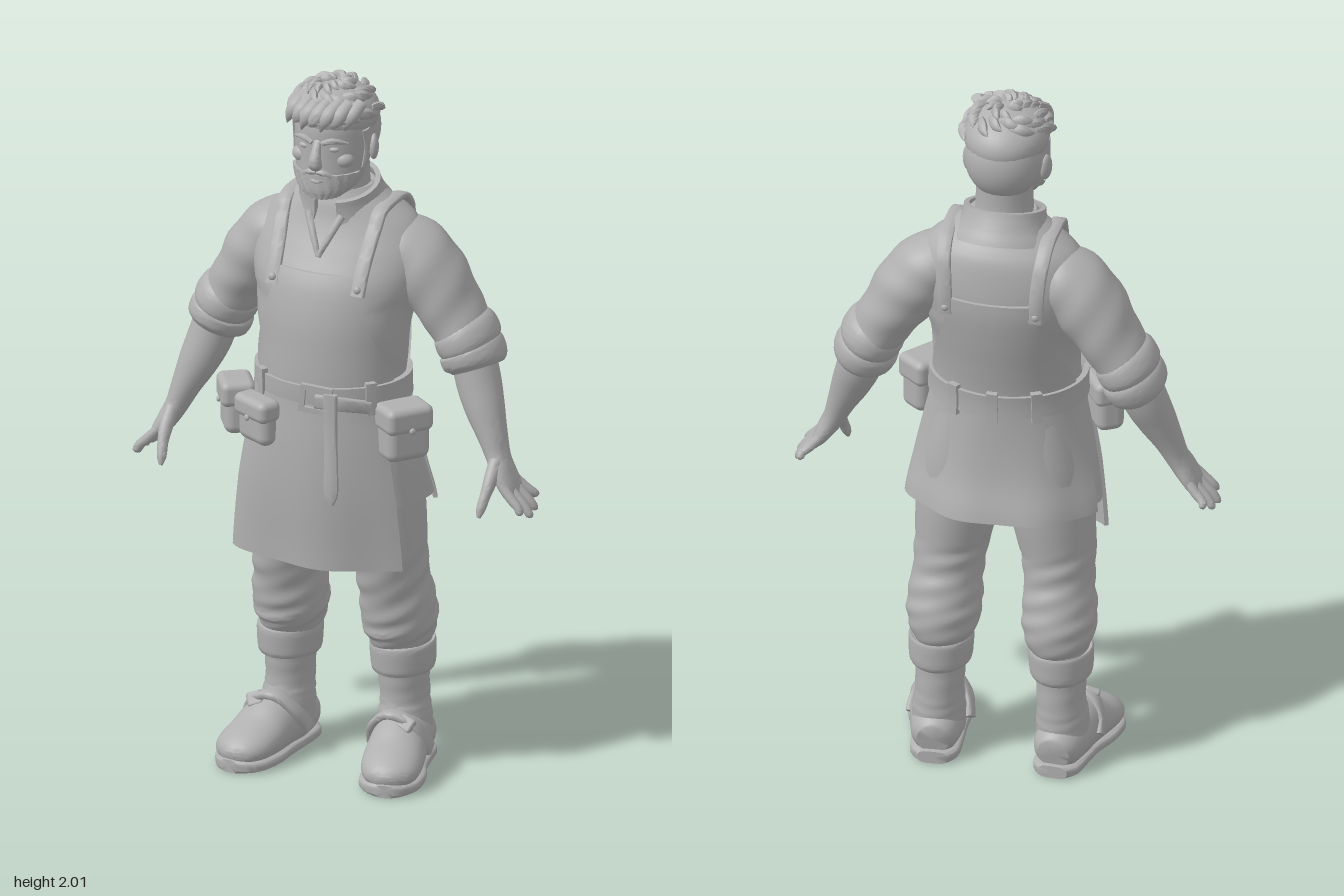
import * as THREE from 'three';
import { toCreasedNormals } from 'three/addons/utils/BufferGeometryUtils.js';
import { RoundedBoxGeometry } from 'three/addons/geometries/RoundedBoxGeometry.js';

const V = (x, y, z) => new THREE.Vector3(x, y, z);
const clay = new THREE.MeshStandardMaterial({ color: 0xb0b0b0, side: THREE.DoubleSide });
clay.name = 'plain grey';

// Catmull-Rom interpolation of rows of numbers
function mix(rows, u) {
  const n = rows.length - 1, i = Math.min(Math.floor(u), n - 1), t = u - i;
  const [a, b, c, d] = [i - 1, i, i + 1, i + 2].map(k => rows[Math.max(0, Math.min(n, k))]);
  return b.map((q, k) => q + 0.5 * t * (c[k] - a[k] + t * (2 * a[k] - 5 * q + 4 * c[k] - d[k] + t * (3 * (q - c[k]) + d[k] - a[k]))));
}

// Skins a list of closed rings
function skin(rings, crease = 0.8) {
  const m = rings[0].length, idx = [];
  for (let i = 0; i < rings.length - 1; i++) for (let j = 0; j < m; j++) {
    const A = i * m + j, B = i * m + (j + 1) % m;
    idx.push(A, A + m, B, B, A + m, B + m);
  }
  const g = new THREE.BufferGeometry().setFromPoints(rings.flat());
  g.setIndex(idx);
  return toCreasedNormals(g, crease);
}

// Closed tube through rows [x, y, z, half width, half depth]
function limb(rows, { seg = 20, steps = 5, ref = V(0, 0, 1), sq = 1, fold = () => 0 } = {}) {
  const n = (rows.length - 1) * steps, rings = [];
  const pw = v => Math.sign(v) * Math.abs(v) ** sq;
  for (let k = -1; k <= n + 1; k++) {
    const u = Math.max(0, Math.min(n, k)) / steps, r = mix(rows, u), c = V(...r);
    const t = V(...mix(rows, Math.min(u + 0.05, rows.length - 1))).sub(V(...mix(rows, Math.max(u - 0.05, 0)))).normalize();
    const s = t.clone().cross(ref).normalize(), f = s.clone().cross(t);
    const e = k < 0 || k > n ? 0 : 1;
    rings.push(Array.from({ length: seg }, (_, j) => {
      const q = j / seg * Math.PI * 2, w = e * (1 + fold(q, u));
      return c.clone().addScaledVector(s, r[3] * w * pw(Math.cos(q))).addScaledVector(f, r[4] * w * pw(Math.sin(q)));
    }));
  }
  return skin(rings);
}

// Point on an upright body given by rows [y, half width, half depth, z centre], top first
function at(rows, y, q, h = 0) {
  let i = 0;
  while (i < rows.length - 2 && y < rows[i + 1][0]) i++;
  const [, a, b, c] = mix(rows, i + (rows[i][0] - y) / (rows[i][0] - rows[i + 1][0]));
  return V((a + h) * Math.sin(q), y, c + (b + h) * Math.cos(q));
}
function body(rows, seg = 40, n = 36, fold = () => 0) {
  const top = rows[0][0], bot = rows[rows.length - 1][0], rings = [];
  for (let k = -1; k <= n + 1; k++) {
    const y = top + (bot - top) * Math.max(0, Math.min(n, k)) / n;
    const ring = Array.from({ length: seg }, (_, j) => at(rows, y, j / seg * 2 * Math.PI, fold(j / seg * 2 * Math.PI, y)));
    if (k < 0 || k > n) { const c = at(rows, y, 0).add(at(rows, y, Math.PI)).multiplyScalar(0.5); ring.forEach(p => p.copy(c)); }
    rings.push(ring);
  }
  return skin(rings);
}
// Cloth panel lying on a body between two angles
function panel(rows, y1, y0, angles, h0, h1, fold = () => 0, seg = 28, n = 14) {
  const rings = [];
  for (let k = -1; k <= n + 1; k++) {
    const y = y1 + (y0 - y1) * Math.max(0, Math.min(n, k)) / n, [t0, t1] = angles(y), ring = [];
    for (let j = 0; j < 2 * (seg + 1); j++) {
      const out = j <= seg, q = t0 + (t1 - t0) * (out ? j : 2 * seg + 1 - j) / seg;
      ring.push(at(rows, y, q, (out && k >= 0 && k <= n ? h1 : h0) + fold(q, y)));
    }
    rings.push(ring);
  }
  return skin(rings);
}

const TORSO = [[1.69, .09, .085, -.045], [1.65, .14, .105, -.05], [1.6, .205, .13, -.06], [1.53, .245, .155, -.05],
  [1.45, .245, .18, -.03], [1.35, .222, .185, -.01], [1.25, .205, .178, .005], [1.15, .2, .17, .015], [1.05, .205, .165, .01]];
const SKIRT = [[1.13, .2, .168, .013], [1.0, .225, .17, .01], [.9, .245, .172, 0], [.79, .262, .18, -.02]];
const APRON = [[1.12, .212, .176, .015], [1.0, .235, .178, .02], [.85, .262, .178, .02], [.64, .282, .165, .02]];
const HEAD = [[1.98, .05, .06, 0], [1.95, .09, .1, 0], [1.9, .106, .12, .003], [1.85, .108, .121, .005], [1.8, .104, .115, .012],
  [1.75, .093, .097, .032], [1.715, .072, .074, .056], [1.692, .042, .045, .08]];

export function createModel() {
  const root = new THREE.Group();
  const add = (name, geo, pos, rot, scale, parent = root) => {
    const m = new THREE.Mesh(geo, clay);
    m.name = name;
    if (pos) m.position.set(...pos);
    if (rot) m.rotation.set(...rot);
    if (scale) m.scale.set(...scale);
    parent.add(m);
    return m;
  };
  const ball = new THREE.SphereGeometry(1, 28, 20);

  // Shirt, collar and neck
  add('shirtBody', body(TORSO, 48, 40, (q, y) => .004 * Math.sin(3 * q + y * 28) * (y < 1.4 ? 1 : 0)));
  add('neck', limb([[0, 1.78, -.035, .078, .078], [0, 1.7, -.035, .08, .08], [0, 1.6, -.045, .09, .09]]));
  add('collar', panel([[.045, .102, .098, 0], [0, .112, .108, 0], [-.045, .138, .122, 0]], .045, -.045,
    () => [.28, 2 * Math.PI - .28], -.004, .01), [0, 1.65, -.04], [.28, 0, 0]);
  for (const s of [1, -1]) add('neckPlacket', limb([[s * .05, 1.63, .072, .011, .008], [s * .022, 1.57, .1, .01, .008],
    [0, 1.52, .118, .007, .008]], { seg: 10 }));

  // Tunic skirt in back and side pieces
  const ripple = (q, y) => .006 * Math.sin(7 * q + 1) * (1.1 - y) / .3;
  add('tunicBack', panel(SKIRT, 1.13, .79, y => [1.85 - (1.1 - y) * .1, 4.43 + (1.1 - y) * .1], 0, .012, ripple));
  for (const s of [1, -1]) add('tunicSide', panel(SKIRT, 1.13, .81, () => s > 0 ? [.5, 1.82] : [-1.82, -.5], -.006, .007, ripple));

  // Apron skirt, bibs and shoulder straps
  add('apronSkirt', panel(APRON, 1.12, .64, () => [-1, 1], 0, .012, (q, y) => .008 * Math.sin(6 * q + .8) * (1.12 - y) / .48));
  const BIB = [[1.16, .195], [1.25, .175], [1.33, .15], [1.41, .125], [1.48, .113]];
  const bibAngle = y => {
    let i = 0;
    while (i < 3 && y > BIB[i + 1][0]) i++;
    const w = BIB[i][1] + (BIB[i + 1][1] - BIB[i][1]) * (y - BIB[i][0]) / (BIB[i + 1][0] - BIB[i][0]);
    return Math.asin(Math.min(.97, w / at(TORSO, y, Math.PI / 2).x));
  };
  for (const [name, c] of [['frontBib', 0], ['backBib', Math.PI]])
    add(name, panel(TORSO, 1.48, 1.14, y => [c - bibAngle(y), c + bibAngle(y)], -.004, .01));
  for (const s of [1, -1]) {
    const onTorso = (y, x, back) => {
      const q = Math.asin(Math.min(1, x / (at(TORSO, y, Math.PI / 2, .01).x)));
      const p = at(TORSO, y, back ? Math.PI - q : q, .01);
      return [s * p.x, p.y, p.z, .009, .02];
    };
    const ys = [1.43, 1.49, 1.55, 1.6, 1.64], xs = [.126, .128, .132, .137, .14];
    const path = [...ys.map((y, i) => onTorso(y, xs[i])), ...ys.map((y, i) => onTorso(y, xs[i], true)).reverse()];
    add('shoulderStrap', limb(path, { ref: V(1, 0, 0), sq: .4, seg: 16 }));
    for (const b of [0, 1]) add('strapButton', ball, [s * .126, 1.45, b ? -.2 : .142], null, [.011, .011, .008]);
  }

  // Belt with loops, buckle, hanging end
  const round = () => [0, 2 * Math.PI];
  add('belt', panel(TORSO, 1.172, 1.105, round, .004, .02, undefined, 60, 4));
  for (const q of [-.75, .85, 2.6, 3.14, 3.7]) add('beltLoop', panel(TORSO, 1.185, 1.092, () => [q - .07, q + .07], .01, .028, undefined, 4, 4));
  const buckle = new THREE.Shape([[-.045, -.04], [.045, -.04], [.045, .04], [-.045, .04]].map(p => new THREE.Vector2(...p)));
  buckle.holes.push(new THREE.Path([[-.03, -.025], [-.03, .025], [.03, .025], [.03, -.025]].map(p => new THREE.Vector2(...p))));
  add('buckle', new THREE.ExtrudeGeometry(buckle, { depth: .014, bevelEnabled: false }), [.03, 1.138, .197], [0, .15, -.1]);
  add('beltTail', limb([[.03, 1.135, .208, .02, .008], [.1, 1.13, .19, .02, .008], [.165, 1.115, .145, .018, .008]], { sq: .4, ref: V(0, 0, 1) }));
  add('hangingStrap', limb([[.075, 1.16, .205, .02, .008], [.076, 1.05, .205, .018, .008], [.08, .93, .212, .02, .007],
    [.08, .87, .212, .019, .007], [.08, .84, .212, .007, .005]], { sq: .4, seg: 16 }));

  // Belt pouches
  for (const [x, z, turn, w, h, d] of [[-.15, .185, -.5, .125, .13, .055], [-.25, .1, -1.0, .11, .15, .08], [.245, .1, .9, .13, .155, .09]]) {
    const p = new THREE.Group();
    p.name = 'pouch';
    p.position.set(x, 1.045, z);
    p.rotation.y = turn;
    add('pouchBody', new RoundedBoxGeometry(w, h, d, 4, .026), null, null, null, p);
    add('pouchFlap', new RoundedBoxGeometry(w + .01, h * .48, d + .016, 3, .02), [0, h * .28, .002], null, null, p);
    add('pouchStud', ball, [0, h * .1, d / 2 + .01], null, [.009, .009, .006], p);
    root.add(p);
  }

  // Arms, hands and legs, mirrored
  for (const s of [1, -1]) {
    const mir = rows => rows.map(([x, ...r]) => [x * s, ...r]);
    const part = (name, rows, opt) => add(name, limb(mir(rows), opt));
    part('sleeve', [[.13, 1.55, -.065, .06, .08], [.19, 1.512, -.07, .09, .108], [.25, 1.44, -.075, .098, .112],
      [.305, 1.355, -.08, .085, .105], [.35, 1.28, -.08, .078, .1]], { seg: 28, fold: (q, u) => .02 * Math.sin(2 * q + u * 6) });
    part('sleeveRoll', [[.335, 1.315, -.08, .07, .092], [.347, 1.295, -.08, .086, .106], [.362, 1.262, -.08, .088, .108], [.373, 1.24, -.08, .076, .096]], { seg: 28 });
    part('sleeveCuff', [[.36, 1.255, -.08, .074, .094], [.368, 1.24, -.079, .088, .106], [.383, 1.207, -.075, .087, .1], [.39, 1.19, -.072, .07, .082]], { seg: 28 });
    part('forearm', [[.375, 1.24, -.07, .06, .065], [.398, 1.16, -.058, .062, .064], [.425, 1.09, -.04, .055, .056],
      [.455, 1.02, -.024, .041, .046], [.477, .965, -.014, .032, .042], [.498, .925, -.004, .028, .052],
      [.522, .885, -.002, .021, .055], [.533, .865, -.004, .012, .048]], { seg: 24 });
    const F = [[.041, .052, .572, .832], [.014, .016, .585, .815], [-.014, -.028, .58, .82], [-.04, -.07, .565, .842]];
    F.forEach(([z0, z1, x, y], i) => part('finger', [[.51, .905, z0, .013, .014], [.54, .873, z0 + (z1 - z0) * .4, .0135, .014],
      [(.54 + x) / 2 + .006, (.873 + y) / 2, z0 + (z1 - z0) * .7, .012, .013], [x - .002, y + .006, z1, .011, .011], [x, y, z1, .004, .005]], { seg: 10 }));
    part('thumb', [[.482, .96, .012, .02, .022], [.482, .92, .05, .019, .021], [.479, .885, .078, .015, .016],
      [.474, .85, .098, .013, .013], [.472, .828, .108, .005, .005]], { seg: 12 });

    part('trouserLeg', [[.1, 1.06, -.01, .1, .13], [.115, .9, -.015, .118, .14], [.132, .76, -.02, .115, .132], [.148, .64, -.025, .103, .12],
      [.155, .55, -.04, .096, .113], [.16, .47, -.058, .102, .117], [.162, .405, -.07, .098, .115], [.165, .35, -.073, .075, .09]],
    { seg: 32, steps: 7, fold: (q, u) => u < 3 ? 0 : .03 * Math.sin(2 * q + u * 7.5) * Math.sin(q * 1.5 + u) });
    part('bootCuff', [[.167, .368, -.072, .076, .092], [.167, .36, -.072, .088, .102], [.168, .32, -.073, .088, .101], [.168, .285, -.074, .084, .097], [.168, .275, -.074, .07, .082]], { seg: 28 });
    part('bootShaft', [[.168, .3, -.075, .07, .082], [.17, .2, -.08, .066, .079], [.173, .14, -.075, .072, .086], [.175, .06, -.07, .072, .09]], { seg: 28, fold: (q, u) => .02 * Math.sin(u * 12 + q) });
    const up = { ref: V(0, 1, 0), seg: 28 };
    const shoe = limb(mir([[.168, .07, -.168, .045, .045], [.17, .075, -.14, .064, .064], [.178, .082, -.07, .076, .08], [.19, .085, .0, .079, .084],
      [.204, .068, .07, .084, .064], [.218, .056, .13, .08, .05], [.226, .047, .17, .06, .036], [.23, .042, .19, .025, .018]]), up);
    add('shoe', shoe);
    part('shoeSole', [[.168, .019, -.176, .04, .018], [.17, .019, -.14, .066, .019], [.18, .019, -.06, .072, .019], [.19, .019, 0, .076, .019],
      [.205, .019, .07, .088, .019], [.219, .019, .14, .083, .019], [.228, .019, .18, .055, .019], [.231, .019, .196, .025, .018]], { ...up, sq: .55 });
    // Instep strap with buckle
    part('shoeStrap', [[.098, .075, -.03, .012, .024], [.112, .125, .005, .011, .022], [.15, .167, .024, .011, .022], [.19, .175, .026, .011, .022],
      [.235, .155, .018, .011, .022], [.26, .11, 0, .011, .022], [.265, .07, -.03, .011, .022]], { ref: V(0, 0, 1), sq: .5, seg: 14 });
    add('shoeBuckle', new RoundedBoxGeometry(.045, .042, .022, 2, .008), [s * .225, .158, .034], [-.5, 0, -s * .4]);
  }

  // Head and face
  add('head', body(HEAD, 40, 30));
  add('nose', limb([[0, 1.86, .117, .012, .01], [0, 1.835, .13, .013, .013], [0, 1.805, .14, .018, .017], [0, 1.79, .136, .019, .014], [0, 1.782, .126, .01, .008]], { seg: 14 }));
  add('beard', panel(HEAD, 1.765, 1.693, y => { const w = 1.55 - Math.max(0, y - 1.745) * 14; return [-w, w]; }, -.004, .007,
    (q, y) => .002 * Math.sin(q * 22 + y * 90), 48));
  add('lowerLip', limb([[-.026, 1.748, .123, .004, .005], [0, 1.746, .134, .006, .008], [.026, 1.748, .123, .004, .005]], { seg: 10 }));
  for (const s of [1, -1]) {
    add('moustache', limb([[0, 1.772, .13, .007, .007], [s * .025, 1.768, .126, .009, .009], [s * .05, 1.745, .108, .006, .007], [s * .054, 1.725, .1, .003, .004]], { seg: 10 }));
    add('eye', ball, [s * .041, 1.838, .109], null, [.018, .009, .012]);
    add('eyebrow', limb([[s * .014, 1.855, .126, .007, .008], [s * .045, 1.865, .119, .008, .009], [s * .078, 1.855, .094, .003, .004]], { seg: 10 }));
    add('cheekbone', ball, [s * .058, 1.803, .085], null, [.032, .024, .026]);
    add('ear', ball, [s * .109, 1.815, -.008], [0, s * .35, 0], [.014, .037, .023]);
    add('sideburn', limb([[s * .103, 1.88, .03, .008, .022], [s * .106, 1.83, .028, .006, .014], [s * .1, 1.77, .036, .006, .014]], { seg: 12 }));
  }

  // Hair: cap, back and swept locks
  add('hairCap', ball, [0, 1.907, -.005], [-.12, 0, 0], [.117, .085, .133]);
  add('hairBack', ball, [0, 1.85, -.045], null, [.107, .115, .097]);
  for (let k = 0; k < 46; k++) {
    const ring = k < 18 ? 0 : k < 34 ? 1 : 2, q = k * 2.39996, e = [.2, .7, 1.15][ring] + .12 * Math.sin(k * 5.1);
    const P = (a, b, r) => [.117 * r * Math.cos(b) * Math.sin(a), 1.905 + .086 * r * Math.sin(b), .131 * r * Math.cos(b) * Math.cos(a)];
    if (ring === 0 && Math.cos(q) < -.3) continue;
    add('hairLock', limb([[...P(q - .3, e + .2, .93), .012, .01], [...P(q, e + .1, 1.0), .019, .012],
      [...P(q + .2, e, 1.04), .012, .009], [...P(q + .36, e - .08, 1.07), .001, .001]], { seg: 8, steps: 3 }));
  }
  for (let k = 0; k < 7; k++) {
    const x = -.085 + k * .028, z = .128 - x * x * 5;
    add('fringeLock', limb([[x + .02, 1.965, z - .035, .016, .012], [x + .006, 1.94, z - .002, .021, .014],
      [x - .008, 1.915, z + .006, .014, .01], [x - .02, 1.885 + .015 * (k % 2), z - .004, .002, .002]], { seg: 10, steps: 3 }));
  }
  return root;
}
